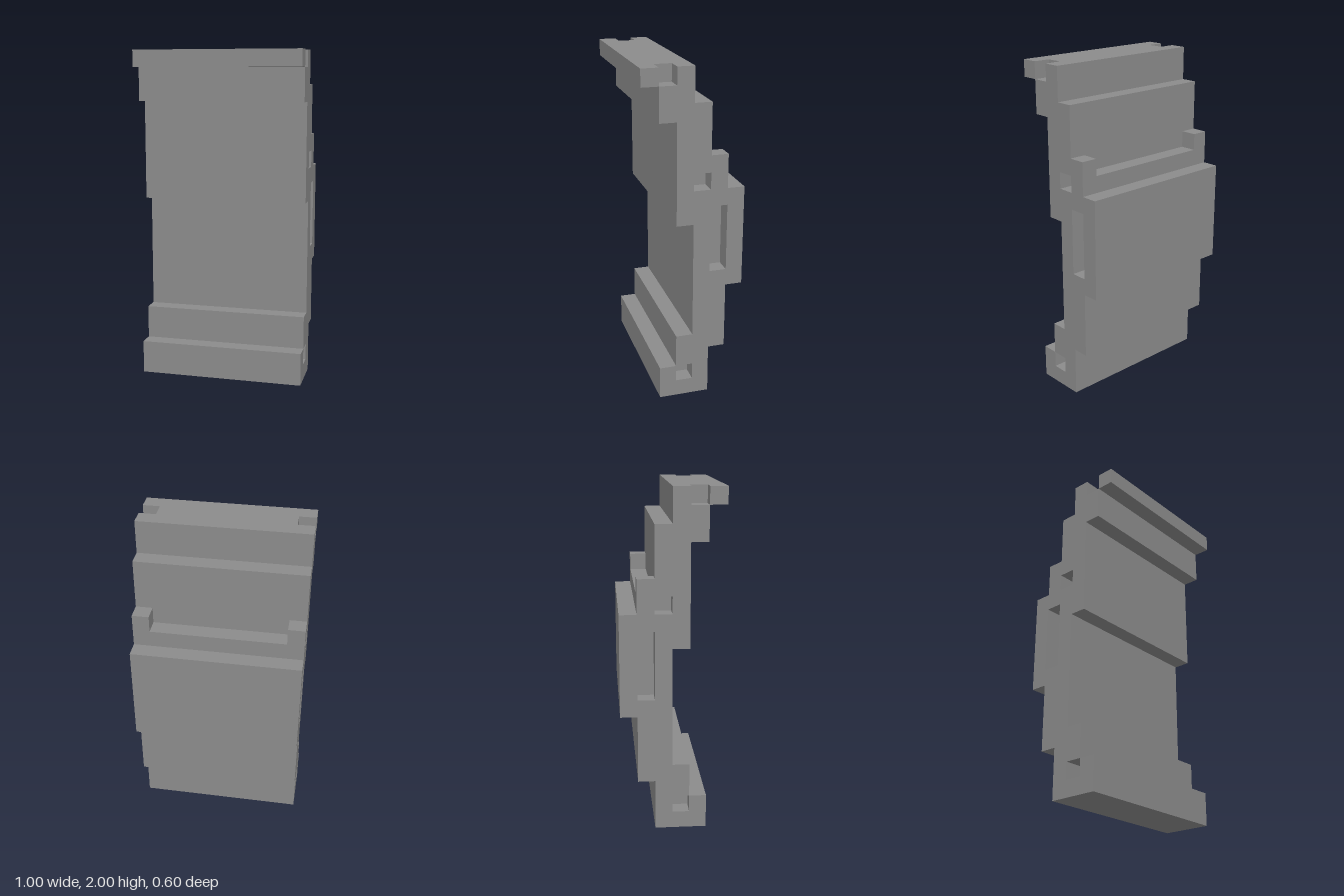
import * as THREE from 'three';

const grey = new THREE.MeshStandardMaterial({ color: 0x8b8b8b });
grey.name = 'plain grey';

// Turns a side profile of [z, y] points into a slab of the given width centred on x
function slab(name, points, holes, width, x) {
  const toVectors = (list) => list.map(([z, y]) => new THREE.Vector2(z, y));
  const shape = new THREE.Shape(toVectors(points));
  for (const [z0, y0, z1, y1] of holes) {
    shape.holes.push(new THREE.Path(toVectors([[z0, y0], [z0, y1], [z1, y1], [z1, y0]])));
  }
  const geometry = new THREE.ExtrudeGeometry(shape, { depth: width, bevelEnabled: false });
  geometry.rotateY(-Math.PI / 2);
  geometry.translate(x + width / 2, 0, 0);
  const mesh = new THREE.Mesh(geometry, grey);
  mesh.name = name;
  return mesh;
}

// Full-width bar
function bar(name, height, y, z) {
  const mesh = new THREE.Mesh(new THREE.BoxGeometry(1, height, 0.1), grey);
  mesh.name = name;
  mesh.position.set(0, y, z);
  return mesh;
}

// Stepped outline; the back shoulder, foot front and top edge vary between core and ends
function outline(shoulder, footFront, top) {
  return [
    [-0.1, 0], [0.1, 0], ...footFront, [0.1, 0.4], [0, 0.4], [0, 1.1],
    [0.1, 1.1], [0.1, 1.7], [0.2, 1.7], ...top, [0, 2], [0, 1.8],
    [-0.1, 1.8], [-0.1, shoulder], [-0.2, shoulder], [-0.2, 1.3],
    [-0.3, 1.3], [-0.3, 0.7], [-0.2, 0.7], [-0.2, 0.3], [-0.1, 0.3],
  ];
}

export function createModel() {
  const model = new THREE.Group();
  model.name = 'steppedPanel';

  // Solid middle
  model.add(slab('panelCore', outline(1.4, [], [[0.2, 2]]), [], 0.8, 0));

  // Ends with side sockets, a notched top and raised back tabs
  const footSocket = [[0.1, 0.1], [0, 0.1], [0, 0.2], [0.1, 0.2]];
  const topNotch = [[0.2, 1.9], [0.1, 1.9], [0.1, 2]];
  const sockets = [[-0.1, 1.3, 0, 1.4], [-0.2, 0.8, -0.1, 1.2]];
  for (const [name, x] of [['leftEnd', 0.45], ['rightEnd', -0.45]]) {
    model.add(slab(name, outline(1.5, footSocket, topNotch), sockets, 0.1, x));
  }

  // Front bars that close the foot sockets and top notches
  model.add(bar('frontFoot', 0.2, 0.1, 0.15));
  model.add(bar('topLip', 0.1, 1.95, 0.25));
  return model;
}
